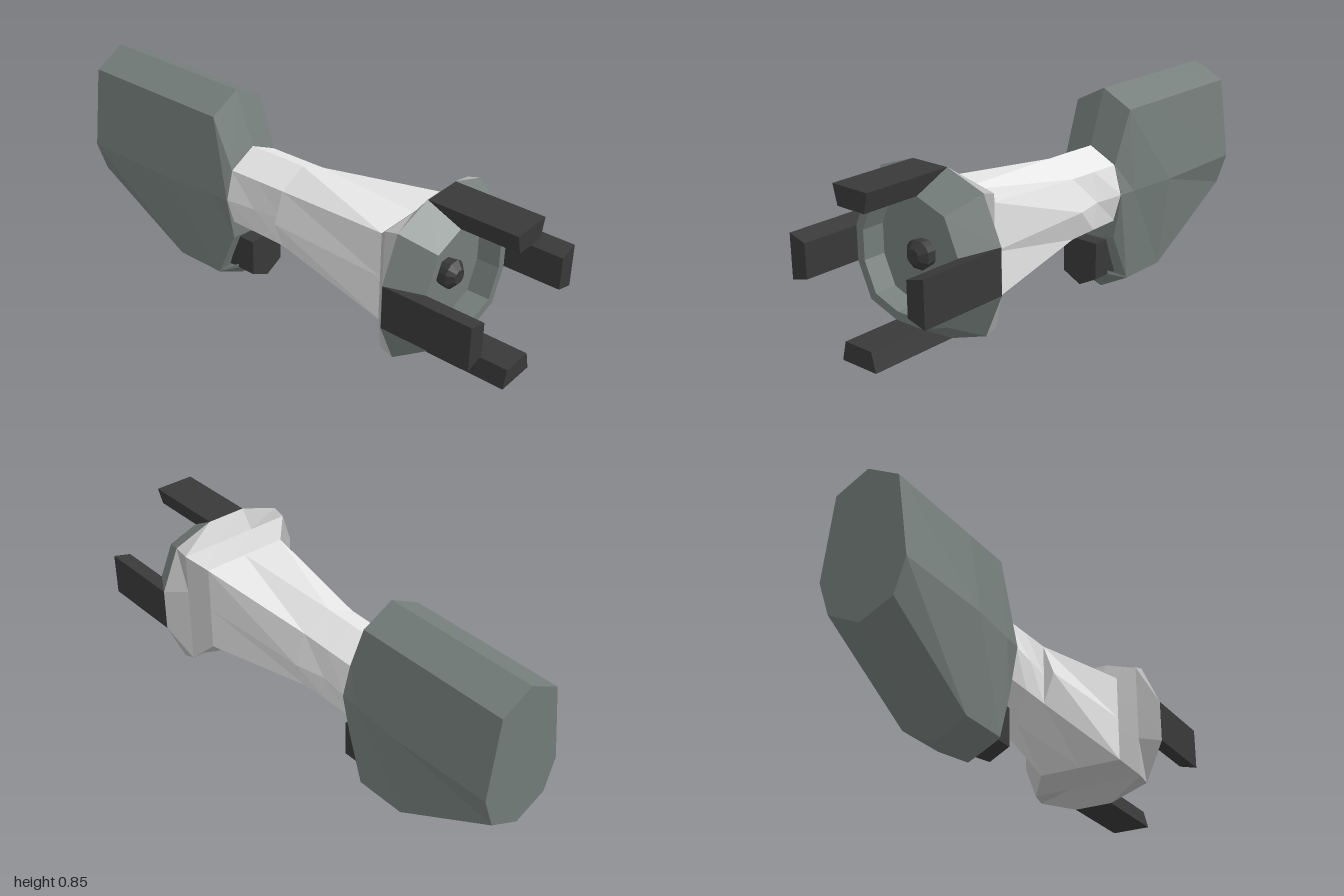
import * as THREE from 'three';

const mat = (name, color) => {
  const m = new THREE.MeshStandardMaterial({ color });
  m.name = name;
  return m;
};

// Skin closed rings, listed front (+z) to back, points counter-clockwise seen from the front
function loft(name, rings, material, frontCap = true, backCap = true) {
  const pos = [];
  const tri = (...pts) => pts.forEach((p) => pos.push(...p));
  const pts = rings.map(({ z, p }) => p.map(([x, y]) => [x, y, z]));
  const n = pts[0].length;
  const centre = (r) => [0, 1, 2].map((k) => r.reduce((s, p) => s + p[k], 0) / n);
  for (let i = 0; i < n; i++) {
    const j = (i + 1) % n;
    for (let r = 0; r + 1 < pts.length; r++) {
      const a = pts[r], b = pts[r + 1];
      tri(a[i], b[i], a[j]);
      tri(a[j], b[i], b[j]);
    }
    const f = pts[0], l = pts[pts.length - 1];
    if (frontCap) tri(centre(f), f[i], f[j]);
    if (backCap) tri(centre(l), l[j], l[i]);
  }
  const g = new THREE.BufferGeometry();
  g.setAttribute('position', new THREE.Float32BufferAttribute(pos, 3));
  g.computeVertexNormals();
  const mesh = new THREE.Mesh(g, material);
  mesh.name = name;
  return mesh;
}

const CY = 0.455; // height of the long axis

// Twelve-point ring from three points of the upper right quadrant (side to top)
function ring12(z, quadrant, s = 1) {
  const q = quadrant.map(([x, y]) => [x * s, y * s]);
  const flip = (sx, sy) => q.map(([x, y]) => [x * sx, y * sy]);
  const all = [...q, ...flip(-1, 1).reverse(), ...flip(-1, -1), ...flip(1, -1).reverse()];
  return { z, p: all.map(([x, y]) => [x, y + CY]) };
}

// Eight-point hull section with ridge and keel on the centre line
const section = (z, bottom, low, side, edge, high, top, left = side) => ({
  z,
  p: [[0, bottom], [edge, low], [side, CY], [edge, high], [0, top],
    [-edge, high], [-left, CY], [-edge, low]],
});

export function createModel() {
  const light = mat('lightGrey', 0xe6e6e6);
  const middle = mat('middleGrey', 0xb8b8b8);
  const slate = mat('slateGrey', 0x757e7b);
  const dark = mat('darkGrey', 0x393939);
  const model = new THREE.Group();
  model.name = 'spaceTug';

  // Head: bevelled rim around a sunken dish
  const head = [[0.327, 0.088], [0.25, 0.262], [0.083, 0.32]];
  model.add(loft('head', [
    ring12(0.67, head, 0.66), ring12(0.765, head, 0.66),
    ring12(0.765, head, 0.765), ring12(0.635, head),
  ], slate, true, false));

  // Flare behind the head, passing from twelve sides to a square
  const square = (z, s) => ring12(z, [[s, s * 0.33], [s, s], [s * 0.33, s]]);
  model.add(loft('flare', [
    ring12(0.635, head), square(0.58, 0.247), square(0.52, 0.185),
  ], middle, false, false));

  // Neck: square at the head, ridged where it meets the waist
  model.add(loft('neck', [
    section(0.52, 0.27, 0.27, 0.185, 0.185, 0.64, 0.64),
    section(0, 0.278, 0.335, 0.165, 0.12, 0.58, 0.638),
  ], light, false, true));

  // Waist between neck and pod
  model.add(loft('waist', [
    section(0, 0.278, 0.335, 0.165, 0.12, 0.58, 0.638, 0.122),
    section(-0.13, 0.31, 0.338, 0.137, 0.12, 0.577, 0.636),
    section(-0.265, 0.285, 0.34, 0.154, 0.12, 0.574, 0.633),
  ], light, false, false));

  // Knob in the dish
  const knob = [[0.053, 0.021], [0.04, 0.04], [0.021, 0.053]];
  model.add(loft('knob', [
    ring12(0.735, knob, 0.5), ring12(0.71, knob), ring12(0.665, knob, 0.9),
  ], dark));

  // Four prongs, each on a flat of the head
  const upright = [[0.083, 0.32], [-0.083, 0.32], [-0.064, 0.245], [0.064, 0.245]];
  const sideways = [[0.327, -0.088], [0.327, 0.088], [0.25, 0.067], [0.25, -0.067]];
  for (const p of [upright, sideways]) {
    for (const turn of [0, Math.PI]) {
      const prong = loft('prong', [{ z: 1, p }, { z: 0.636, p }], dark);
      prong.position.y = CY;
      prong.rotation.z = turn;
      model.add(prong);
    }
  }

  // Rear pod, cut away underneath at the back
  model.add(loft('pod', [
    section(-0.26, 0.25, 0.265, 0.156, 0.122, 0.576, 0.635),
    section(-0.34, 0, 0.07, 0.16, 0.132, 0.785, 0.853),
    section(-0.56, 0, 0.07, 0.18, 0.132, 0.785, 0.853),
    section(-1, 0.258, 0.322, 0.177, 0.132, 0.785, 0.853),
  ], slate));

  // Chin block below the neck, with a wedge widening into the keel of the pod
  const chinRing = (z, w, low, keel, top) => ({
    z, p: [[0, keel], [w, low], [w, top], [-w, top], [-w, low]],
  });
  model.add(loft('chin', [
    chinRing(-0.195, 0.083, 0.095, 0.052, 0.25),
    chinRing(-0.335, 0.083, 0.095, 0.052, 0.25),
  ], dark));
  model.add(loft('keelWedge', [
    chinRing(-0.275, 0.084, 0.094, 0.051, 0.11),
    chinRing(-0.341, 0.133, 0.07, 0, 0.075),
  ], slate));

  return model;
}
